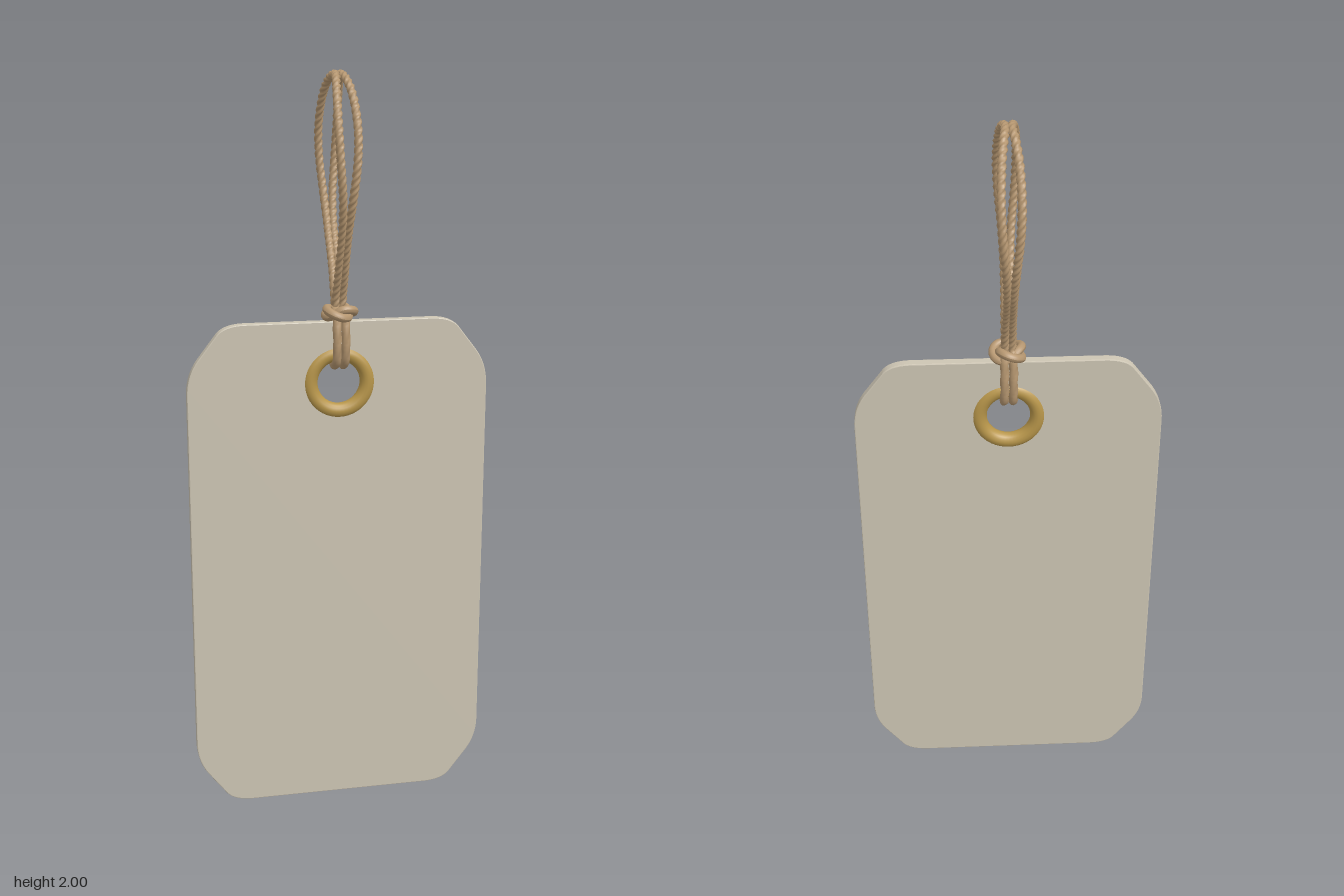
import * as THREE from 'three';

const paper = new THREE.MeshStandardMaterial({ color: 0xcdc5b3 });
paper.name = 'paper';
const brass = new THREE.MeshStandardMaterial({ color: 0xb8964a });
brass.name = 'brass';
const twine = new THREE.MeshStandardMaterial({ color: 0xb59670 });
twine.name = 'twine';

const HOLE_Y = 1.2;
const MID_Z = 0.013;

function addMesh(parent, name, geometry, material) {
  const mesh = new THREE.Mesh(geometry, material);
  mesh.name = name;
  parent.add(mesh);
  return mesh;
}

// Card outline with softened chamfered corners and a round hole
function tagGeometry() {
  const w = 0.402, h = 0.68, cy = 0.6825;
  const s = new THREE.Shape();
  const corner = [[0, 0.185], [0, 0.13], [0.03, 0.09], [0.08, 0.025], [0.10, 0], [0.155, 0]];
  // each corner is the same run of points, mirrored and walked clockwise
  [[-1, 1, false], [1, 1, true], [1, -1, false], [-1, -1, true]].forEach(([sx, sy, flip], i) => {
    const run = flip ? [...corner].reverse() : corner;
    const p = run.map(([dx, dy]) => [sx * (w - dx), cy + sy * (h - dy)]);
    if (i === 0) s.moveTo(...p[0]); else s.lineTo(...p[0]);
    s.quadraticCurveTo(...p[1], ...p[2]);
    s.lineTo(...p[3]);
    s.quadraticCurveTo(...p[4], ...p[5]);
  });
  s.closePath();
  const hole = new THREE.Path();
  hole.absarc(0, HOLE_Y, 0.078, 0, Math.PI * 2, true);
  s.holes.push(hole);
  const b = 0.0025;
  const g = new THREE.ExtrudeGeometry(s, {
    depth: 0.026 - 2 * b, bevelEnabled: true, bevelSize: b, bevelThickness: b,
    bevelSegments: 2, curveSegments: 16,
  });
  return g.translate(0, 0, b);
}

// Cord: a tube whose surface is ridged by a three-strand twist
function cordGeometry(curve, segments, radius, turns, depth, closed = false) {
  const sides = 12;
  const g = new THREE.TubeGeometry(curve, segments, radius, sides, closed);
  const pos = g.attributes.position, nor = g.attributes.normal;
  for (let i = 0; i < pos.count; i++) {
    const ring = Math.floor(i / (sides + 1)), a = (i % (sides + 1)) / sides * Math.PI * 2;
    const d = radius * depth * (Math.abs(Math.cos(1.5 * a + Math.PI * turns * ring / segments)) - 0.8);
    pos.setXYZ(i, pos.getX(i) + nor.getX(i) * d, pos.getY(i) + nor.getY(i) * d, pos.getZ(i) + nor.getZ(i) * d);
  }
  g.computeVertexNormals();
  return g;
}

const spline = (pts) => new THREE.CatmullRomCurve3(pts.map((p) => new THREE.Vector3(...p)));

export function createModel() {
  const model = new THREE.Group();
  model.name = 'hangTag';

  addMesh(model, 'tagCard', tagGeometry(), paper);

  const eyelet = addMesh(model, 'eyelet', new THREE.TorusGeometry(0.0775, 0.0205, 16, 48), brass);
  eyelet.position.set(0, HOLE_Y, MID_Z);

  const cord = new THREE.Group();
  cord.name = 'cord';
  model.add(cord);

  // Half profile of the hanging loop: sideways offset, height, depth
  const half = [
    [0.008, 1.385, 0.008], [0.009, 1.43, 0.014], [0.008, 1.5, 0.045], [0.008, 1.6, 0.096],
    [0.013, 1.69, 0.132], [0.021, 1.78, 0.145], [0.024, 1.86, 0.134], [0.02, 1.94, 0.09],
    [0.013, 1.978, 0.045],
  ];
  for (const side of [-1, 1]) {
    const label = side > 0 ? 'left' : 'right';
    const front = half.map(([x, y, z], i) => [side * x, y, z + (i < 3 ? 0.008 : 0)]);
    const back = half.map(([x, y, z], i) => [side * x, y, -z + (i < 3 ? 0.012 : 0)]).reverse();
    const loop = spline([...front, [side * 0.008, 1.989, 0], ...back]);
    addMesh(cord, label + 'HangingLoop', cordGeometry(loop, 320, 0.0106, 70, 0.4), twine);

    // Strand passing from the knot through the eyelet and back
    const x = side * 0.0115;
    const strand = spline([
      [x, 1.395, 0.012], [x, 1.39, 0.036], [x, 1.35, 0.05], [x, 1.29, 0.051], [x, 1.258, 0.04],
      [x, 1.246, MID_Z], [x, 1.258, -0.012], [x, 1.29, -0.021], [x, 1.35, -0.02],
      [x, 1.39, -0.01], [x, 1.395, 0.012],
    ]);
    addMesh(cord, label + 'EyeletStrand', cordGeometry(strand, 110, 0.0115, 8, 0.2), twine);
  }

  // Knot: a cord wound twice round, weaving over itself
  const wraps = [];
  for (let i = 0; i < 32; i++) {
    const t = i / 32 * Math.PI * 4;
    const r = 0.032 + 0.008 * Math.cos(1.5 * t);
    wraps.push(new THREE.Vector3(r * Math.cos(t), 1.387 + 0.011 * Math.sin(1.5 * t), 0.016 + r * 1.05 * Math.sin(t)));
  }
  const wrapCurve = new THREE.CatmullRomCurve3(wraps, true);
  addMesh(cord, 'knot', cordGeometry(wrapCurve, 140, 0.0115, 0, 0, true), twine);

  return model;
}
